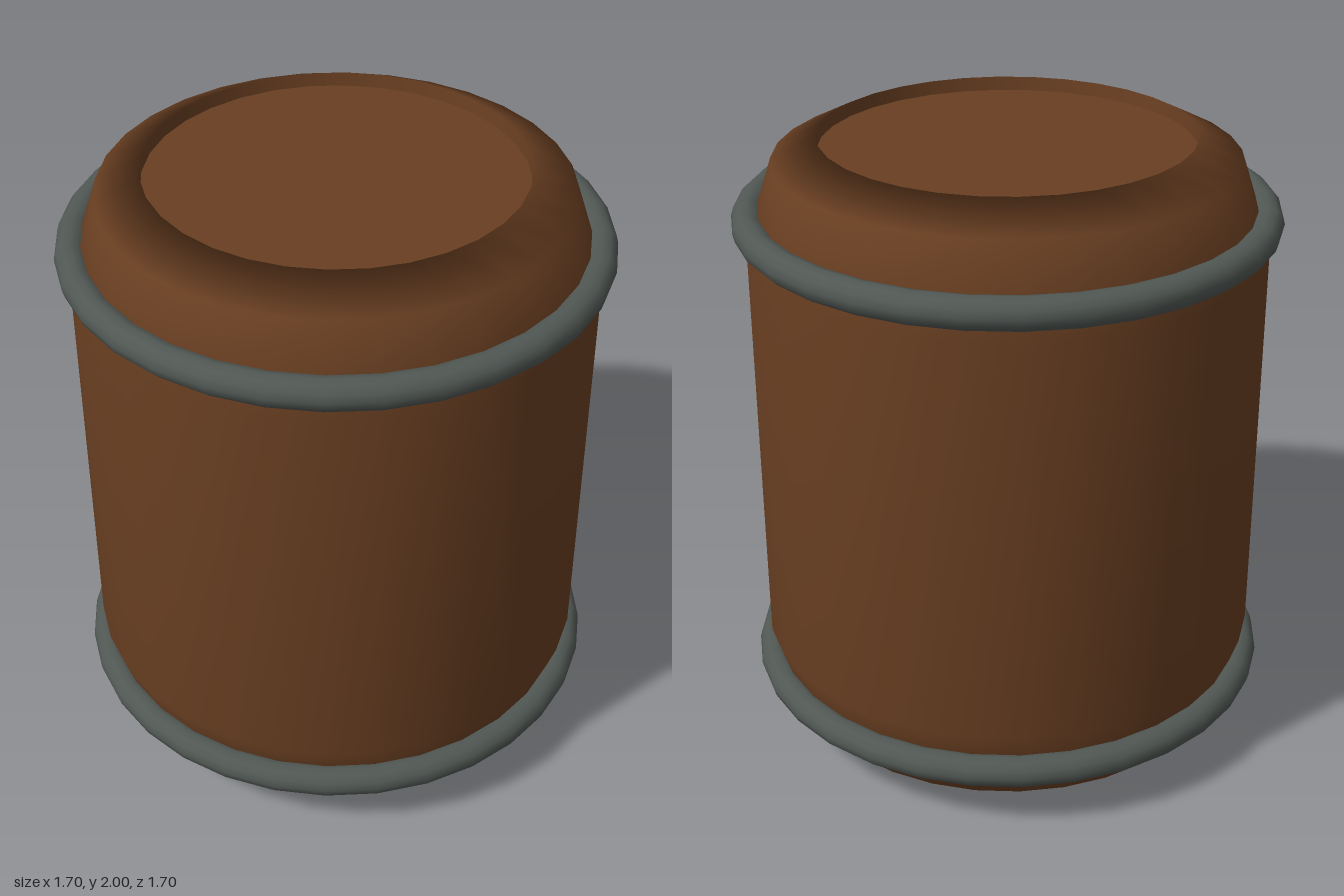
import * as THREE from 'three';

const SIDES = 32;

export function createModel() {
  const model = new THREE.Group();
  model.name = 'barrel';

  const wood = new THREE.MeshStandardMaterial({ color: 0x683e21 });
  wood.name = 'brown wood';
  const iron = new THREE.MeshStandardMaterial({ color: 0x515854 });
  iron.name = 'grey iron';

  function add(name, geometry, material, y = 0) {
    const mesh = new THREE.Mesh(geometry, material);
    mesh.name = name;
    mesh.position.y = y;
    model.add(mesh);
  }

  // Hollow barrel wall: down the bore, around the tapered outside, back into the bore
  const profile = [
    [0.58, 1], [0.58, 0], [0.72, 0.07], [0.81, 0.34],
    [0.81, 1.66], [0.72, 1.93], [0.58, 2], [0.58, 1],
  ].map(([r, y]) => new THREE.Vector2(r, y));
  add('barrelWall', new THREE.LatheGeometry(profile, SIDES), wood);

  // Thin lid set just below the top rim; the bottom is open
  add('lid', new THREE.CylinderGeometry(0.58, 0.58, 0.03, SIDES), wood, 1.94);

  // Round hoops
  const hoop = new THREE.TorusGeometry(0.8, 0.05, 12, SIDES).rotateX(Math.PI / 2);
  add('lowerHoop', hoop, iron, 0.212);
  add('upperHoop', hoop, iron, 1.746);

  return model;
}
